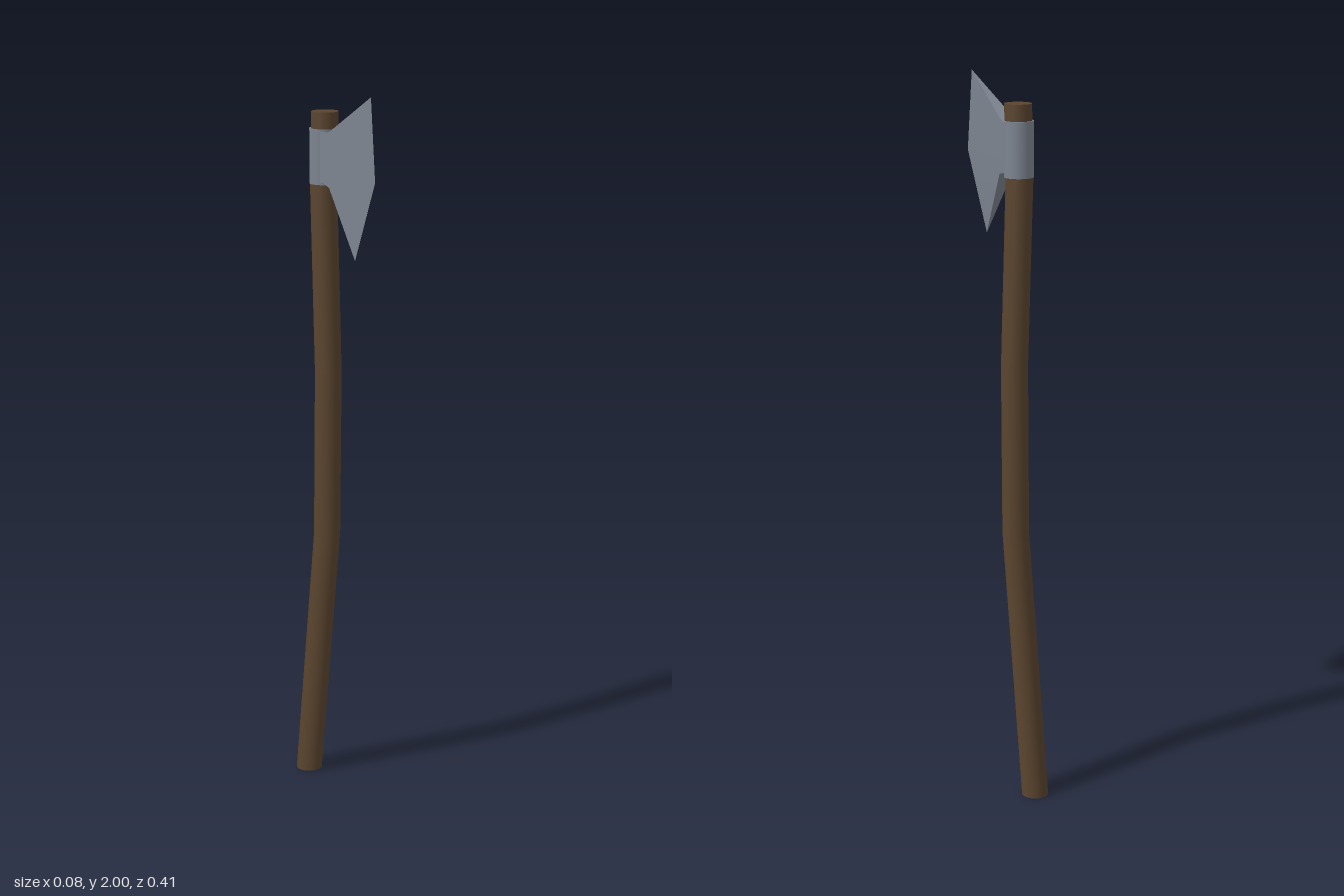
import * as THREE from 'three';
import { toCreasedNormals } from 'three/addons/utils/BufferGeometryUtils.js';

const wood = new THREE.MeshStandardMaterial({ color: 0x5a442e });
const steel = new THREE.MeshStandardMaterial({ color: 0x7c8490, side: THREE.DoubleSide });

function addPart(group, name, geometry, material) {
  const mesh = new THREE.Mesh(geometry, material);
  mesh.name = name;
  group.add(mesh);
  return mesh;
}

// Round shaft whose level rings are shifted in z to follow a bent path of [y, z]
function bentShaft(path, radius) {
  const geo = new THREE.CylinderGeometry(radius, radius, 1, 32, path.length - 1);
  const pos = geo.attributes.position;
  for (let i = 0; i < pos.count; i++) {
    const ring = Math.round((pos.getY(i) + 0.5) * (path.length - 1));
    const [y, z] = path[ring];
    pos.setY(i, y);
    pos.setZ(i, pos.getZ(i) + z);
  }
  return geo;
}

// Skin between closed sections that all have the same number of points
function loft(sections) {
  const n = sections[0].length;
  const index = [];
  for (let s = 0; s < sections.length - 1; s++) {
    for (let i = 0; i < n; i++) {
      const a = s * n + i, b = s * n + (i + 1) % n;
      index.push(a, a + n, b, b, a + n, b + n);
    }
  }
  const geo = new THREE.BufferGeometry();
  geo.setAttribute('position', new THREE.Float32BufferAttribute(sections.flat(2), 3));
  geo.setIndex(index);
  return toCreasedNormals(geo, 0.7);
}

// Six-point section: bottom, middle, top up the -x cheek, then back down the +x cheek
function bladeSection(xRight, xLeft, rows) {
  const right = rows.map(([y, z]) => [xRight, y, z]);
  const left = rows.map(([y, z]) => [xLeft, y, z]).reverse();
  return [...right, ...left];
}

export function createModel() {
  const axe = new THREE.Group();
  axe.name = 'axe';

  // Curved wooden handle
  addPart(axe, 'handle', bentShaft([
    [0, -0.166], [0.75, -0.071], [1.22, -0.064], [1.74, -0.085], [1.935, -0.078],
  ], 0.037), wood);

  // Steel socket around the handle
  const socket = addPart(axe, 'socket', new THREE.CylinderGeometry(0.04, 0.04, 0.15, 32), steel);
  socket.position.set(0, 1.815, -0.082);

  // Flared blade, ground from one side so its edge sits at -x
  addPart(axe, 'blade', loft([
    bladeSection(-0.033, 0.033, [[1.745, -0.08], [1.815, -0.08], [1.885, -0.08]]),
    bladeSection(-0.03, 0.022, [[1.748, -0.045], [1.815, -0.045], [1.882, -0.045]]),
    bladeSection(-0.04, 0.004, [[1.74, 0], [1.815, 0], [1.89, 0]]),
    bladeSection(-0.036, -0.036, [[1.56, 0.115], [1.78, 0.205], [2, 0.185]]),
  ]), steel);

  return axe;
}
